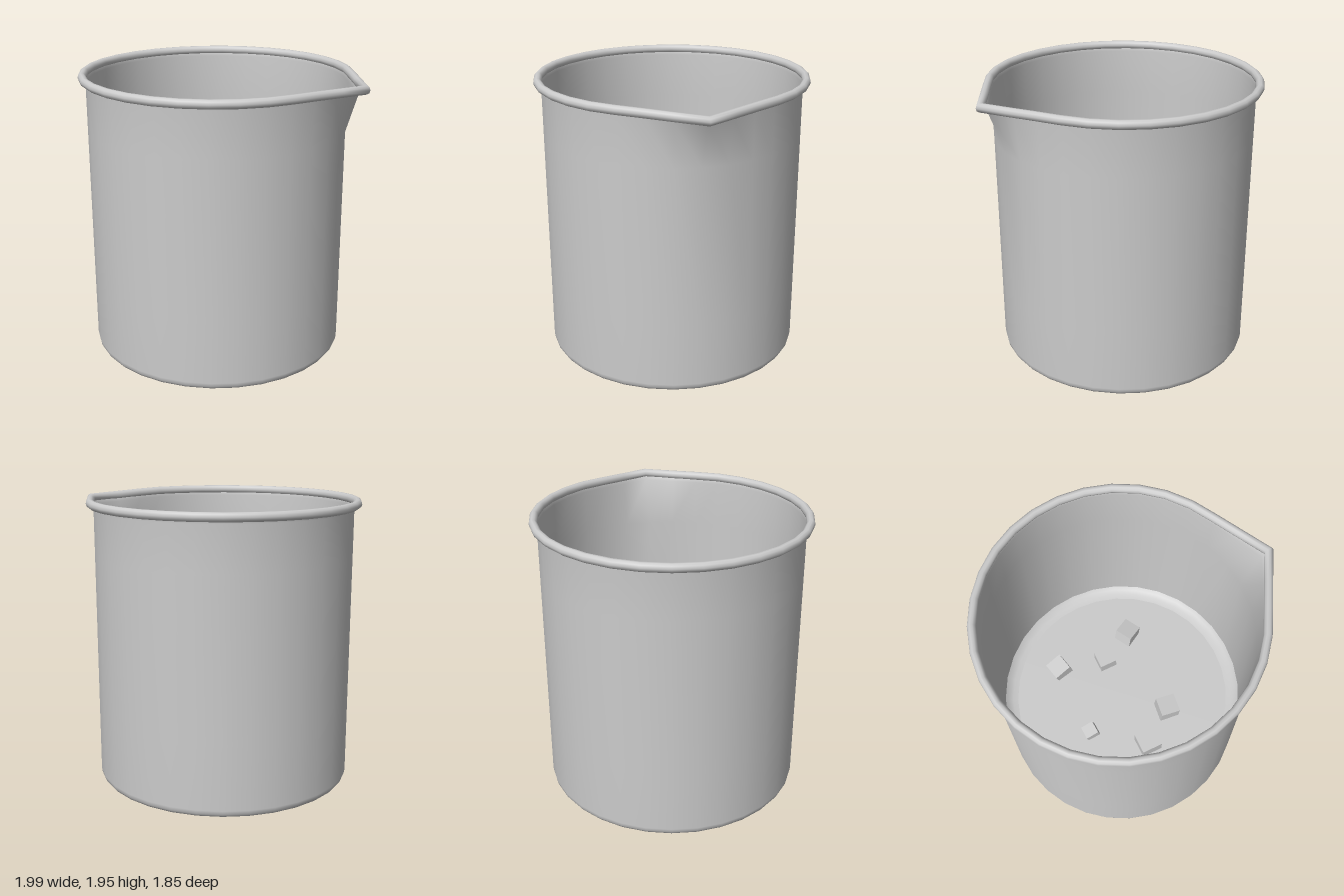
import * as THREE from 'three';
import { mergeVertices } from 'three/addons/utils/BufferGeometryUtils.js';

const AXIS_X = -0.07;          // the round body sits off centre to leave room for the spout
const SIDES = 32;
const SPOUT_ANGLE = 0.518;     // half angle where the spout leaves the circle
const SPOUT_START = 1.57, SPOUT_END = 1.92;
const LIQUID_Y = 0.46;

const material = new THREE.MeshStandardMaterial({ color: 0xcccccc, side: THREE.DoubleSide });

function addMesh(group, name, geometry) {
  const mesh = new THREE.Mesh(geometry, material);
  mesh.name = name;
  group.add(mesh);
  return mesh;
}

// Turned shape whose upper part is drawn out along tangent lines to a point at +x.
// spoutAt(y) gives how far the spout is formed, from 0 to 1.
function spoutedLathe(points, spoutAt) {
  let geo = new THREE.LatheGeometry(points.map(([r, y]) => new THREE.Vector2(r, y)), SIDES);
  const pos = geo.attributes.position;
  for (let i = 0; i < pos.count; i++) {
    const x = pos.getX(i), y = pos.getY(i), z = pos.getZ(i);
    const inside = Math.max(0, SPOUT_ANGLE - Math.abs(Math.atan2(z, x)));
    const amount = spoutAt(y);
    const stretch = 1 + amount * (1 / Math.cos(inside) - 1);
    const dip = 0.018 * amount * inside / SPOUT_ANGLE;
    pos.setXYZ(i, x * stretch, y - dip, z * stretch);
  }
  geo.deleteAttribute('uv');
  geo.deleteAttribute('normal');
  geo = mergeVertices(geo, 1e-4);
  geo.computeVertexNormals();
  return geo;
}

export function createModel() {
  const model = new THREE.Group();
  model.name = 'beaker';
  const vessel = new THREE.Group();
  vessel.name = 'vessel';
  vessel.position.x = AXIS_X;
  model.add(vessel);

  // Thin wall with a rounded foot and a pulled spout
  const wall = [
    [0, 0], [0.8, 0], [0.83, 0.003], [0.858, 0.016], [0.871, 0.035], [0.875, 0.06],
    [0.875, 0.49], [0.875, SPOUT_START], [0.875, 1.88], [0.89, SPOUT_END],
  ];
  addMesh(vessel, 'wall', spoutedLathe(wall, y =>
    THREE.MathUtils.clamp((y - SPOUT_START) / (SPOUT_END - SPOUT_START), 0, 1) ** 1.4));

  // Rolled rim following the spout
  const rim = [];
  for (let i = 0; i <= 10; i++) {
    const a = i / 10 * Math.PI * 2;
    rim.push([0.897 + 0.028 * Math.cos(a), 1.923 + 0.03 * Math.sin(a)]);
  }
  addMesh(vessel, 'rim', spoutedLathe(rim, () => 1));

  // Liquid with its edge curving up to the wall
  const meniscus = [[0.873, 0.5], [0.85, 0.478], [0.82, 0.466], [0.785, LIQUID_Y]];
  addMesh(vessel, 'liquidEdge', spoutedLathe(meniscus, () => 0));
  const surface = addMesh(vessel, 'liquidSurface', new THREE.CircleGeometry(0.785, SIDES));
  surface.rotation.x = -Math.PI / 2;
  surface.position.y = LIQUID_Y;

  // Floating cubes: x, z, size, turn, tilt
  const cubes = [
    [-0.41, -0.38, 0.13, 0.22, 0.2],
    [0.175, -0.41, 0.13, 0.52, -0.2],
    [-0.07, -0.29, 0.125, 0, 0],
    [-0.41, 0.17, 0.095, 0.04, 0.2],
    [0.175, 0.26, 0.14, -0.12, -0.1],
    [-0.07, 0.435, 0.15, 0, 0],
  ];
  for (const [x, z, size, turn, tilt] of cubes) {
    const cube = addMesh(model, 'floatingCube', new THREE.BoxGeometry(size, size, size));
    cube.position.set(x, LIQUID_Y + size * 0.25, z);
    cube.rotation.set(0, turn, tilt, 'YXZ');
  }
  return model;
}
